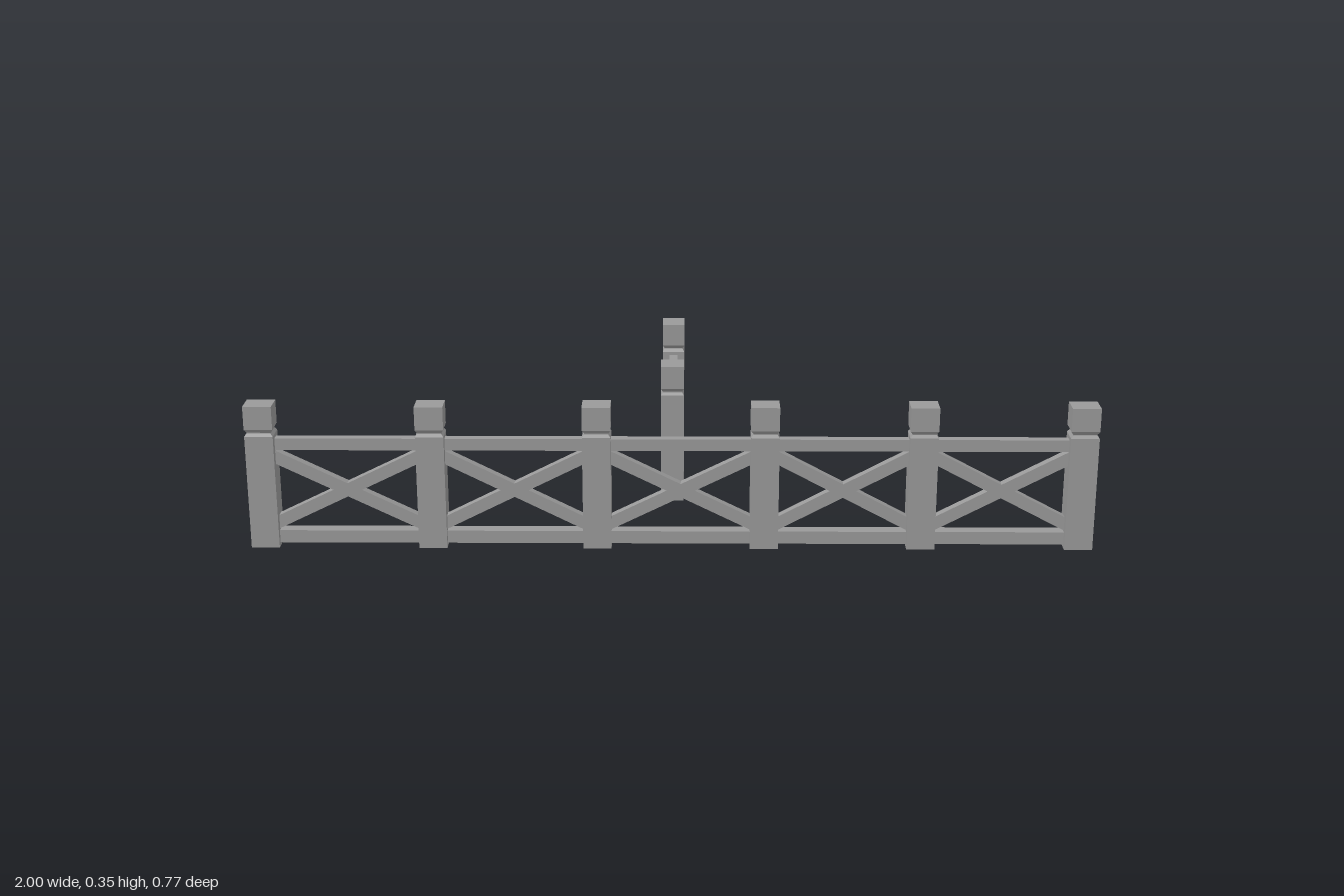
import * as THREE from 'three';

const material = new THREE.MeshStandardMaterial({ color: 0x9a9a9a, flatShading: true });
const POST_W = 0.067, POST_D = 0.057;

// Square post with a bevelled neck under a block cap, as a four-sided lathe
function makePostGeometry() {
  const profile = [
    [0, 0], [1, 0], [1, 0.279], [0.84, 0.286], [0.84, 0.288], [1, 0.296], [1, 0.353], [0, 0.353],
  ].map(([r, y]) => new THREE.Vector2(r * Math.SQRT1_2, y));
  const lathe = new THREE.LatheGeometry(profile, 4, Math.PI / 4);
  lathe.scale(POST_W, 1, POST_D);
  const geometry = lathe.toNonIndexed();
  geometry.computeVertexNormals();
  return geometry;
}

function addBox(parent, name, w, h, d, x, y, angle = 0) {
  const mesh = new THREE.Mesh(new THREE.BoxGeometry(w, h, d), material);
  mesh.name = name;
  mesh.position.set(x, y, 0);
  mesh.rotation.z = angle;
  parent.add(mesh);
}

// Straight run of fence along x, with one bay between each pair of posts
function makeFence(name, postXs, braceShift) {
  const fence = new THREE.Group();
  fence.name = name;
  const postGeometry = makePostGeometry();
  postXs.forEach((x) => {
    const post = new THREE.Mesh(postGeometry, material);
    post.name = 'post';
    post.position.x = x;
    fence.add(post);
  });
  for (let i = 0; i < postXs.length - 1; i++) {
    const span = postXs[i + 1] - postXs[i];
    const mid = (postXs[i + 1] + postXs[i]) / 2;
    const gap = span - POST_W;
    // The top rail is a little thinner than the bottom one
    addBox(fence, 'topRail', span, 0.029, 0.022, mid, 0.255);
    addBox(fence, 'bottomRail', span, 0.031, 0.031, mid, 0.024);
    // Crossed braces, their ends buried in the posts
    const angle = Math.atan2(0.163, gap);
    const length = (gap + 0.03) / Math.cos(angle);
    for (const side of [-1, 1]) {
      addBox(fence, 'crossBrace', length, 0.03, 0.022, mid + braceShift, 0.141, side * angle);
    }
  }
  return fence;
}

export function createModel() {
  const model = new THREE.Group();
  model.name = 'fences';

  const longFence = makeFence('longFence', [-0.967, -0.567, -0.176, 0.22, 0.592, 0.967], 0);
  longFence.position.z = 0.354;

  // Single bay behind, standing at right angles to the long run
  const shortFence = makeFence('shortFence', [-0.189, 0.189], 0.005);
  shortFence.position.z = -0.161;
  shortFence.rotation.y = Math.PI / 2;

  model.add(longFence, shortFence);
  return model;
}
